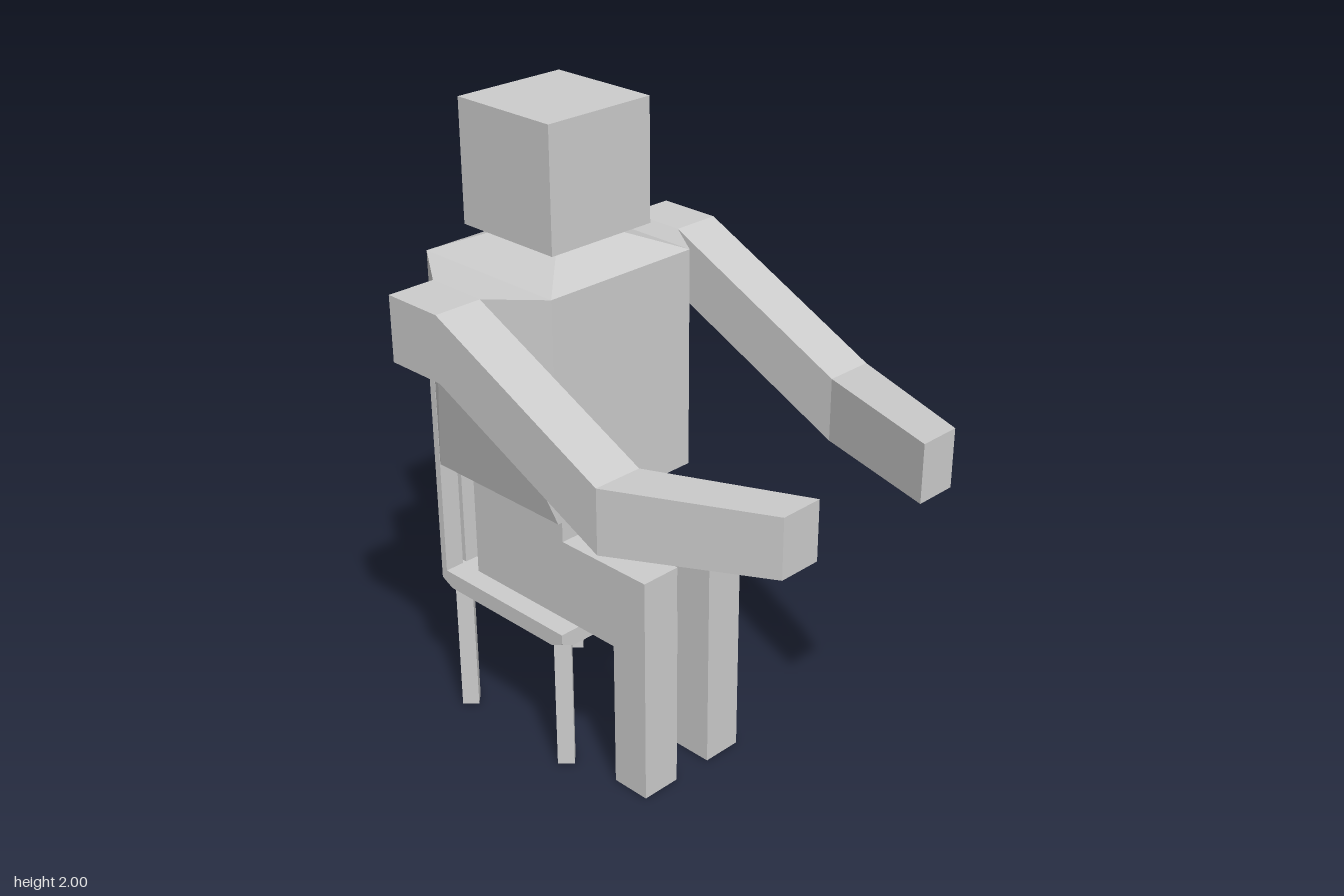
import * as THREE from 'three';
import { ConvexGeometry } from 'three/addons/geometries/ConvexGeometry.js';

const material = new THREE.MeshStandardMaterial({ color: 0xcccccc, flatShading: true });

function add(parent, name, geometry) {
  const mesh = new THREE.Mesh(geometry, material);
  mesh.name = name;
  parent.add(mesh);
  return mesh;
}

// Box given by its limits on each axis
function block(parent, name, x0, x1, y0, y1, z0, z1) {
  const mesh = add(parent, name, new THREE.BoxGeometry(x1 - x0, y1 - y0, z1 - z0));
  mesh.position.set((x0 + x1) / 2, (y0 + y1) / 2, (z0 + z1) / 2);
  return mesh;
}

// Solid spanned between corner points, mirrored in z by side
function hull(parent, name, points, side = 1) {
  return add(parent, name, new ConvexGeometry(points.map(([x, y, z]) => new THREE.Vector3(x, y, z * side))));
}

// Four corners of a cross-section facing x, y or z
const sectionX = (x, y0, y1, z0, z1) => [[x, y0, z0], [x, y0, z1], [x, y1, z0], [x, y1, z1]];
const sectionY = (y, x0, x1, z0, z1) => [[x0, y, z0], [x0, y, z1], [x1, y, z0], [x1, y, z1]];
const sectionZ = (z, x0, x1, y0, y1) => [[x0, y0, z], [x0, y1, z], [x1, y0, z], [x1, y1, z]];

function createFigure() {
  const figure = new THREE.Group();
  figure.name = 'seatedFigure';

  block(figure, 'head', -0.63, -0.26, 1.63, 2, -0.188, 0.188);
  block(figure, 'neck', -0.58, -0.31, 1.6, 1.63, -0.13, 0.13);
  hull(figure, 'collar', [
    ...sectionY(1.55, -0.71, -0.18, -0.267, 0.267),
    ...sectionY(1.605, -0.58, -0.31, -0.13, 0.13),
  ]);
  block(figure, 'torso', -0.71, -0.18, 0.86, 1.55, -0.267, 0.267);

  // Side outline of a bent leg with hip
  const legOutline = new THREE.Shape([
    [-0.64, 0.484], [-0.03, 0.484], [-0.03, 0], [0.1, 0], [0.1, 0.75], [-0.24, 0.75], [-0.24, 0.86], [-0.64, 0.86],
  ].map(([x, y]) => new THREE.Vector2(x, y)));

  for (const side of [1, -1]) {
    // Arm: shoulder tapering off the torso, then bent forward and inward
    const arm = new THREE.Group();
    arm.name = 'arm';
    figure.add(arm);
    const elbow = sectionX(0.27, 1.055, 1.25, 0.382, 0.535);
    hull(arm, 'shoulder', [
      ...sectionZ(0.267, -0.71, -0.18, 0.86, 1.55),
      ...sectionZ(0.382, -0.54, -0.34, 1.34, 1.54),
    ], side);
    hull(arm, 'shoulderBlock', [
      ...sectionX(-0.54, 1.34, 1.54, 0.382, 0.535),
      ...sectionX(-0.34, 1.34, 1.54, 0.382, 0.535),
    ], side);
    hull(arm, 'upperArm', [...sectionX(-0.34, 1.34, 1.54, 0.382, 0.535), ...elbow], side);
    hull(arm, 'forearm', [...elbow, ...sectionX(0.73, 1.092, 1.27, 0.21, 0.342)], side);

    const leg = add(figure, 'leg', new THREE.ExtrudeGeometry(legOutline, { depth: 0.132, bevelEnabled: false }));
    leg.position.z = side > 0 ? 0.067 : -0.199;
  }
  return figure;
}

function createChair() {
  const chair = new THREE.Group();
  chair.name = 'chair';

  // Seat with clipped lower corners
  const [x0, x1, w, cut] = [-0.735, -0.18, 0.267, 0.045];
  hull(chair, 'seat', [
    ...sectionY(0.484, x0, x1, -w, w),
    ...sectionY(0.452, x0, x1, -w, w),
    ...sectionY(0.43, x0 + cut, x1 - cut, -w, w),
    ...sectionY(0.43, x0, x1, -w + cut, w - cut),
  ]);

  // Diamond-section legs
  for (const x of [-0.672, -0.217]) {
    for (const z of [-0.23, 0.23]) {
      const leg = add(chair, 'chairLeg', new THREE.CylinderGeometry(0.037, 0.037, 0.435, 4));
      leg.position.set(x, 0.2175, z);
    }
  }

  // Upright back slats
  const count = 7, slat = 0.065, pitch = (2 * w - slat) / (count - 1);
  for (let i = 0; i < count; i++) {
    const z = -w + i * pitch;
    block(chair, 'backSlat', -0.735, -0.712, 0.484, 1.3, z, z + slat);
  }
  return chair;
}

export function createModel() {
  const model = new THREE.Group();
  model.name = 'figureOnChair';
  model.add(createFigure(), createChair());
  return model;
}
